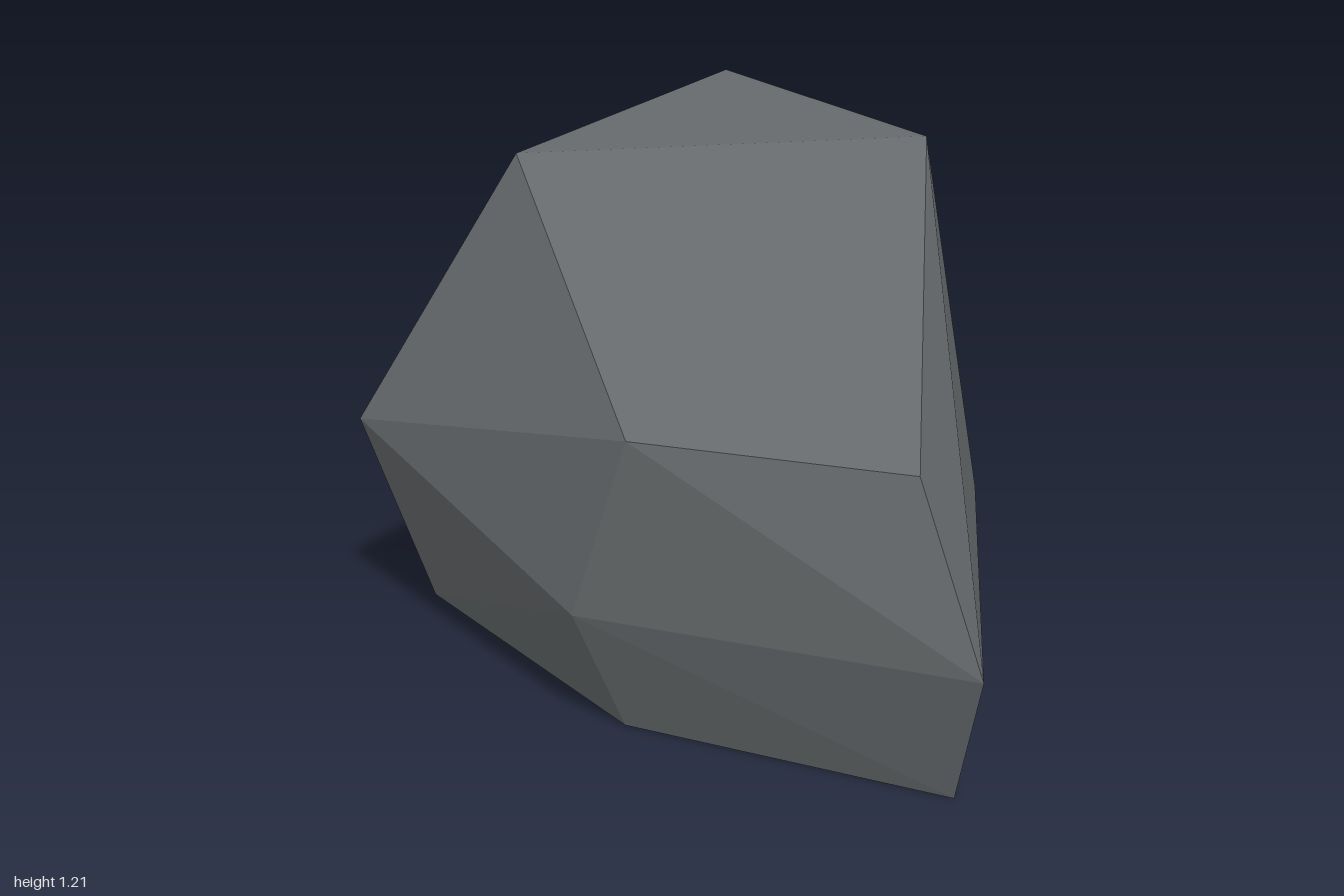
import * as THREE from 'three';

// Three five-sided rings, each running right-front, front, left-front, back-left, back.
const base = [[0.87, 0, 0.31], [0.14, 0, 0.61], [-0.78, 0, 0.5], [-0.92, 0, -0.65], [0.24, 0, -0.24]];
const waist = [[1, 0.31, 0.355], [0.12, 0.28, 0.73], [-0.81, 0.475, 0.67], [-1, 0.475, -0.73], [0.37, 0.43, -0.2]];
const crown = [[0.82, 0.7, 0.37], [0.27, 0.7, 0.69], [-0.55, 1.115, 0.385], [-0.8, 1.165, -0.42], [0.21, 1.205, -0.185]];

// Joins two rings; each quad is split along the diagonal that keeps the stone convex.
function band(lower, upper, rising) {
  const points = [];
  lower.forEach((a, i) => {
    const j = (i + 1) % lower.length;
    const b = upper[i], c = upper[j], d = lower[j];
    points.push(...(rising[i] ? [a, b, c, a, c, d] : [a, b, d, b, c, d]));
  });
  return points;
}

// Closes a ring with a fan from its last corner.
function cap(ring, facesUp) {
  const points = [];
  const hub = ring[ring.length - 1];
  for (let i = 0; i < ring.length - 2; i++) {
    points.push(hub, ...(facesUp ? [ring[i + 1], ring[i]] : [ring[i], ring[i + 1]]));
  }
  return points;
}

export function createModel() {
  const group = new THREE.Group();
  group.name = 'rock';

  const corners = [
    ...cap(base, false),
    ...band(base, waist, [true, false, true, false, true]),
    ...band(waist, crown, [true, false, true, true, false]),
    ...cap(crown, true),
  ];
  const geometry = new THREE.BufferGeometry();
  geometry.setAttribute('position', new THREE.Float32BufferAttribute(corners.flat(), 3));
  geometry.computeVertexNormals();

  // Faceted boulder
  const material = new THREE.MeshStandardMaterial({ color: 0x666a6c, flatShading: true });
  const boulder = new THREE.Mesh(geometry, material);
  boulder.name = 'boulder';
  group.add(boulder);
  return group;
}
